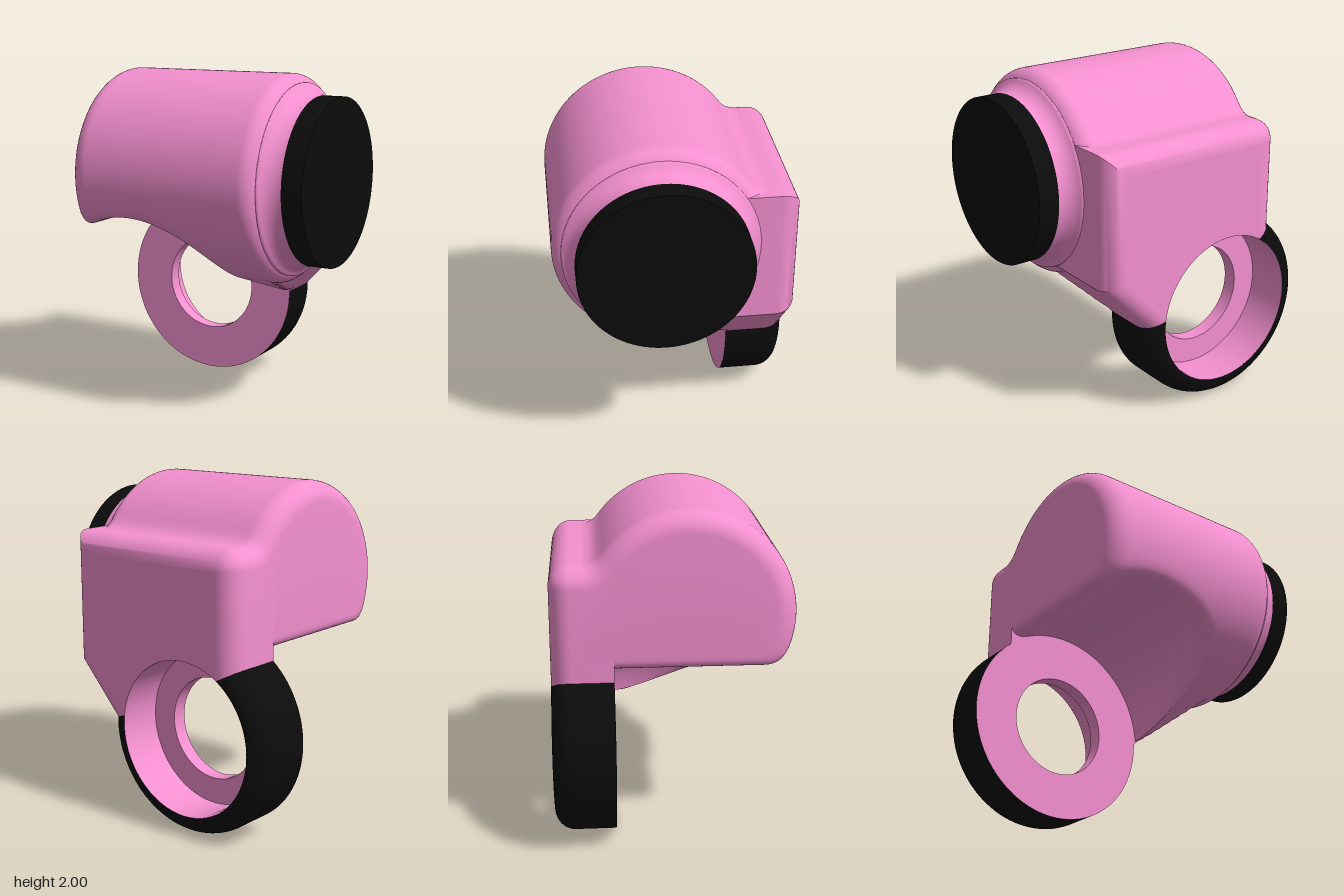
import * as THREE from 'three';
import { toCreasedNormals } from 'three/addons/utils/BufferGeometryUtils.js';

const { sin, cos, sqrt, max, min, acos, PI } = Math;
const V3 = (x, y, z) => new THREE.Vector3(x, y, z);
const steps = (n, f) => Array.from({ length: n + 1 }, (_, i) => f(i / n));

const BARREL = { y: 1.39, z: 0.09, r: 0.61 };
const RING = { x: -0.26, y: 0.58, r: 0.58, bore: 0.46, hole: 0.305 };
const FRONT = -0.34, BACK = -0.7, LEFT = -0.625, RIGHT = 0.6, TOP = 1.69, ROUND = 0.12;
const SLANT = { nx: 0.742, ny: -0.67, c: -0.158 }; // sloping lower edge of the bracket

// Skin stretched over rows of points
function skin(rows) {
  const n = rows[0].length, pos = [], index = [];
  rows.forEach(row => row.forEach(p => pos.push(p.x, p.y, p.z)));
  for (let r = 0; r < rows.length - 1; r++) {
    for (let i = 0; i < n - 1; i++) {
      const a = r * n + i, b = a + 1, c = a + n, d = c + 1;
      index.push(a, c, b, b, c, d);
    }
  }
  const g = new THREE.BufferGeometry();
  g.setAttribute('position', new THREE.Float32BufferAttribute(pos, 3));
  g.setIndex(index);
  return toCreasedNormals(g.toNonIndexed(), 0.6);
}

// Bracket outline pulled in by d: the eye's arc and the plate above it
function outline(d) {
  const R = RING.r - d, at = a => new THREE.Vector2(RING.x + R * cos(a), RING.y + R * sin(a));
  const a0 = acos((LEFT + d - RING.x) / R);
  const gap = SLANT.c - d - SLANT.nx * RING.x - SLANT.ny * RING.y;
  const a1 = 2 * PI + Math.atan2(SLANT.ny, SLANT.nx) + acos(gap / R);
  const ring = steps(64, t => at(a0 + (a1 - a0) * t));
  const xr = RIGHT - d, rc = ROUND - d;
  const plate = [
    ring[64],
    new THREE.Vector2(xr, (SLANT.nx * xr - SLANT.c + d) / -SLANT.ny),
    new THREE.Vector2(xr, TOP - d),
    ...steps(8, t => new THREE.Vector2(
      LEFT + ROUND - rc * sin(t * PI / 2), TOP - ROUND + rc * cos(t * PI / 2))),
    ring[0],
  ];
  return { ring, plate, a0, a1 };
}

// Cross-section of the housing at x: barrel, rear blend, web below, hollow over the eye
function section(x, r, d) {
  const zf = BARREL.z + r, zb = -0.507;
  const hollowR = 0.59, dx = x - RING.x;
  const hollow = Math.abs(dx) < hollowR
    ? RING.y + sqrt(hollowR * hollowR - dx * dx) + (x < 0 ? d : 0)
    : RING.y - 3 * (dx - hollowR);
  const slant = (SLANT.nx * x - SLANT.c) / -SLANT.ny;
  const top = [], bottom = [];
  steps(64, t => {
    const z = zf - (zf - zb) * (1 - cos(t * PI / 2)), dz = z - BARREL.z;
    const h = sqrt(max(0, r * r - dz * dz));
    const fr = ROUND + d;
    let yt = BARREL.y + h;
    if (z < zb + fr * 0.818) yt = TOP + ROUND - sqrt(max(0, fr * fr - (z - zb) ** 2));
    let yb = BARREL.y - h;
    if (dz < 0.34 * r) yb = min(yb, max(BARREL.y - (r - 0.34 * dz) / 0.94, slant));
    const k = 0.1, soft = max(0, k - Math.abs(yb - hollow)) / k;
    yb = max(yb, hollow) + soft * soft * k / 4;
    top.push(V3(x, yt, z));
    bottom.push(V3(x, min(yb, yt), z));
  });
  return [...bottom.reverse(), ...top];
}

// Flat end of the housing: both halves meet on a middle line
function closed(row) {
  return row.map((p, i) => V3(p.x, (p.y + row[row.length - 1 - i].y) / 2, p.z));
}

function housingGeometry() {
  const rows = [];
  steps(10, t => {
    const a = (1 - t) * PI / 2, d = ROUND * (1 - cos(a));
    rows.push(section(LEFT + ROUND - ROUND * sin(a), BARREL.r - d, d));
  });
  steps(50, t => rows.push(section(-0.085 - 0.415 * cos(t * PI), BARREL.r, 0)));
  steps(8, t => rows.push(section(0.34 + 0.16 * t, BARREL.r, 0)));
  steps(8, t => {
    const a = t * PI / 3, d = 0.1 * (1 - cos(a));
    rows.push(section(0.51 + 0.1 * sin(a), BARREL.r - d, d));
  });
  rows.push(section(RIGHT, 0.56, 0.05));
  return skin([closed(rows[0]), ...rows, closed(rows[rows.length - 1])]);
}

export function createModel() {
  const model = new THREE.Group();
  const pink = new THREE.MeshStandardMaterial({ color: 0xf490d0, side: THREE.DoubleSide });
  const black = new THREE.MeshStandardMaterial({ color: 0x0c0c0c, side: THREE.DoubleSide });
  const add = (name, geometry, material, parent = model) => {
    const mesh = new THREE.Mesh(geometry, material);
    mesh.name = name;
    parent.add(mesh);
    return mesh;
  };

  // Barrel housing blended into the bracket
  add('housing', housingGeometry(), pink);

  // Flared neck and end cap
  const neck = [new THREE.Vector2(0.56, 0.597), ...steps(10, t => {
    const a = (25 + 65 * t) * PI / 180;
    return new THREE.Vector2(0.61 - 0.12 * sin(a), 0.715 - 0.12 * cos(a));
  })];
  add('neck', new THREE.LatheGeometry(neck, 96).rotateZ(-PI / 2), pink)
    .position.set(0, BARREL.y, BARREL.z);
  add('endCap', new THREE.CylinderGeometry(0.49, 0.49, 0.125, 96).rotateZ(-PI / 2), black)
    .position.set(0.7775, BARREL.y, BARREL.z);

  // Bracket with rounded rear edges
  const bracket = new THREE.Group();
  bracket.name = 'bracket';
  model.add(bracket);
  const layers = [{ z: FRONT, d: 0 }, ...steps(10, t => ({
    z: BACK + ROUND - ROUND * sin(t * PI / 2), d: ROUND * (1 - cos(t * PI / 2)),
  }))];
  const rim = key => skin(layers.map(({ z, d }) => outline(d)[key].map(p => V3(p.x, p.y, z))));
  add('eyeRim', rim('ring'), black, bracket);
  add('plateRim', rim('plate'), pink, bracket);

  const full = outline(0);
  const front = new THREE.Shape([...full.ring, ...full.plate.slice(1, -1)]);
  front.holes.push(new THREE.Path().absarc(RING.x, RING.y, RING.hole, 0, 2 * PI, true));
  add('bracketFront', new THREE.ShapeGeometry(front, 64), pink, bracket).position.z = FRONT;

  // Rear face, bordered below by the bore
  const rear = outline(ROUND);
  const arc = steps(40, t => {
    const a = rear.a0 + (rear.a1 - 2 * PI - rear.a0) * t;
    return new THREE.Vector2(RING.x + RING.bore * cos(a), RING.y + RING.bore * sin(a));
  });
  const rearShape = new THREE.Shape([...rear.plate, ...arc.slice(1, -1)]);
  add('bracketRear', new THREE.ShapeGeometry(rearShape), pink, bracket).position.z = BACK;

  // Stepped bore through the eye
  const step = -0.43;
  const bore = [[RING.bore, BACK], [RING.bore, step], [RING.hole, step], [RING.hole, FRONT]]
    .map(([r, z]) => new THREE.Vector2(r, z));
  const boreGeometry = new THREE.LatheGeometry(bore, 96).rotateX(PI / 2).toNonIndexed();
  // Lathe seen from within: turn its faces inward
  const p = boreGeometry.attributes.position, a = V3(), b = V3();
  for (let i = 0; i < p.count; i += 3) {
    a.fromBufferAttribute(p, i + 1);
    b.fromBufferAttribute(p, i + 2);
    p.setXYZ(i + 1, b.x, b.y, b.z);
    p.setXYZ(i + 2, a.x, a.y, a.z);
  }
  add('eyeBore', toCreasedNormals(boreGeometry, 0.6), pink, bracket).position.set(RING.x, RING.y, 0);

  return model;
}
